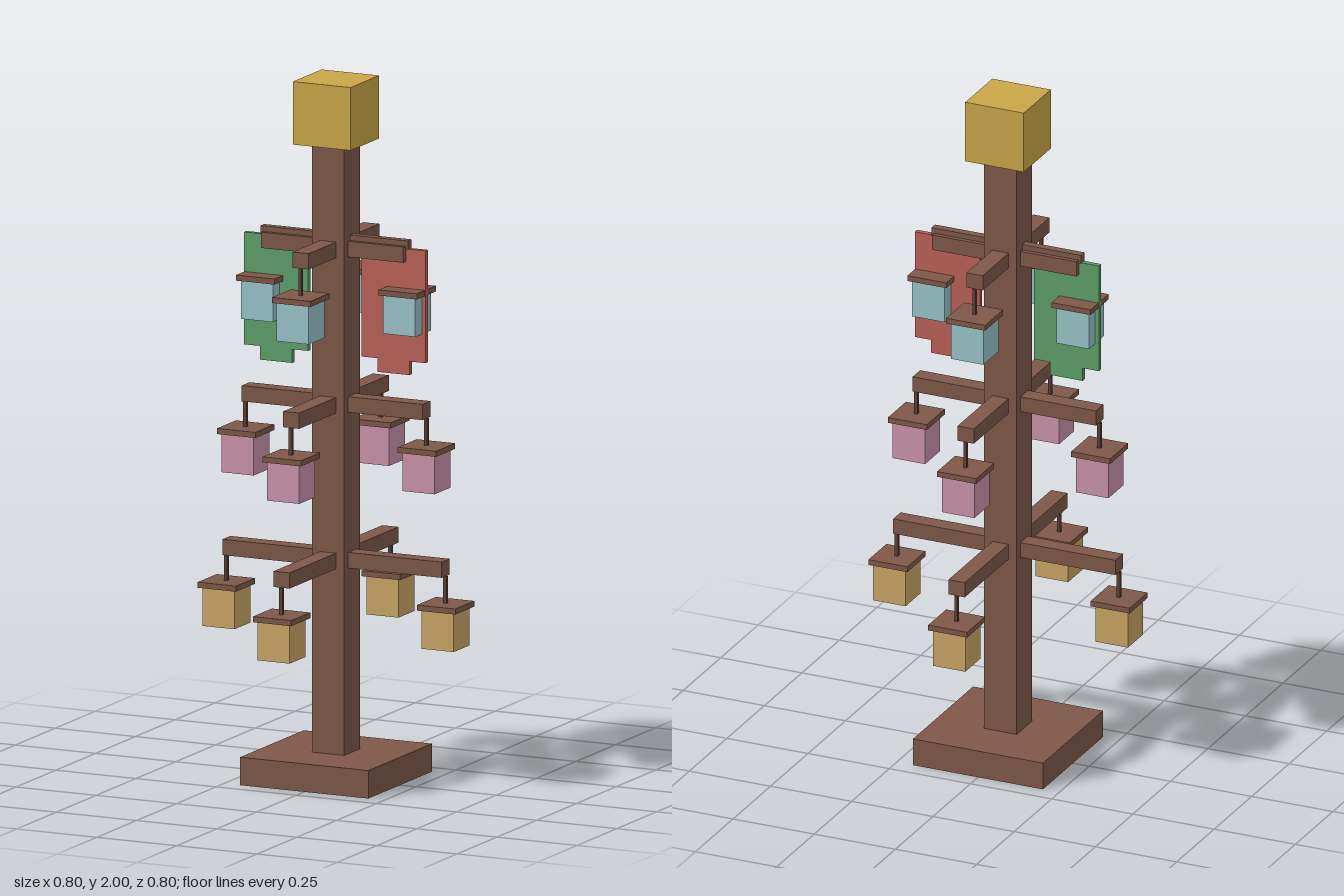
import * as THREE from 'three';

function material(name, color) {
  const m = new THREE.MeshStandardMaterial({ color });
  m.name = name;
  return m;
}

export function createModel() {
  const wood = material('brown wood', 0x7d5848);
  const cordMat = material('dark cord', 0x5d4037);
  const gold = material('gold', 0xc9a647);
  const red = material('red cloth', 0xb96056);
  const green = material('green cloth', 0x5e9e6a);
  const amber = material('amber lantern', 0xc9a565);
  const pink = material('pink lantern', 0xc992ab);
  const blue = material('blue lantern', 0x98c3c9);

  const model = new THREE.Group();
  model.name = 'lanternPole';

  // Box given by its centre in x and z and its bottom and top heights
  function block(parent, name, mat, w, d, y0, y1, x = 0, z = 0) {
    const mesh = new THREE.Mesh(new THREE.BoxGeometry(w, y1 - y0, d), mat);
    mesh.position.set(x, (y0 + y1) / 2, z);
    mesh.name = name;
    parent.add(mesh);
    return mesh;
  }

  // Base, post and cube finial
  block(model, 'base', wood, 0.4, 0.4, 0, 0.08);
  block(model, 'post', wood, 0.1, 0.1, 0.08, 1.82);
  block(model, 'finial', gold, 0.18, 0.18, 1.82, 2);

  // Three tiers, each with four arms carrying a hanging lantern
  const tiers = [
    { name: 'lowerTier', y: 0.633, reach: 0.342, mat: amber },
    { name: 'middleTier', y: 1.078, reach: 0.282, mat: pink },
    { name: 'upperTier', y: 1.522, reach: 0.222, mat: blue },
  ];
  for (const { name, y, reach, mat } of tiers) {
    const tier = new THREE.Group();
    tier.name = name;
    tier.position.y = y;
    for (let i = 0; i < 4; i++) {
      const branch = new THREE.Group();
      branch.name = 'branch';
      branch.rotation.y = (i * Math.PI) / 2;
      block(branch, 'arm', wood, reach - 0.04, 0.05, -0.0225, 0.0225, (reach + 0.04) / 2);
      block(branch, 'cord', cordMat, 0.01, 0.01, -0.1, -0.022, reach);
      block(branch, 'lanternCap', wood, 0.12, 0.12, -0.115, -0.099, reach);
      block(branch, 'lantern', mat, 0.1, 0.1, -0.225, -0.115, reach);
      tier.add(branch);
    }
    model.add(tier);
  }

  // Rod with a stepped cloth banner on each side
  block(model, 'bannerRod', wood, 0.46, 0.024, 1.535, 1.56);
  for (const [side, mat] of [[1, red], [-1, green]]) {
    const banner = new THREE.Group();
    banner.name = side > 0 ? 'leftBanner' : 'rightBanner';
    banner.position.x = side * 0.183;
    block(banner, 'cloth', mat, 0.2, 0.015, 1.215, 1.536);
    block(banner, 'clothTail', mat, 0.1, 0.015, 1.176, 1.215);
    model.add(banner);
  }

  return model;
}
